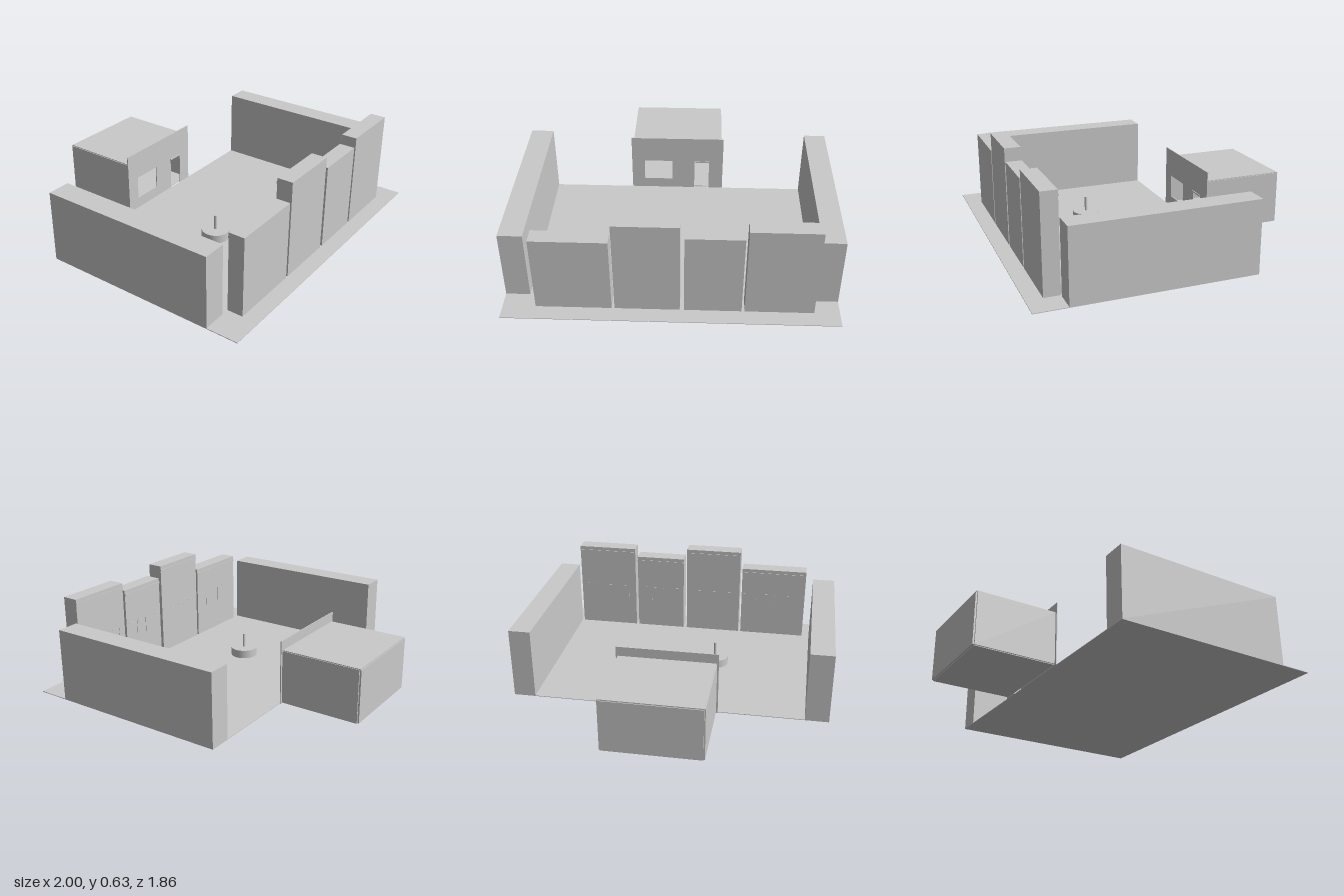
import * as THREE from 'three';

export function createModel() {
  const model = new THREE.Group();
  const stone = new THREE.MeshStandardMaterial({ color: 0xcacaca });
  stone.name = 'light grey stone';

  const add = (name, geometry, parent = model) => {
    const mesh = new THREE.Mesh(geometry, stone);
    mesh.name = name;
    parent.add(mesh);
    return mesh;
  };
  // Box given by its minimum and maximum corners
  const box = (name, x0, x1, y0, y1, z0, z1, parent) => {
    const mesh = add(name, new THREE.BoxGeometry(x1 - x0, y1 - y0, z1 - z0), parent);
    mesh.position.set((x0 + x1) / 2, (y0 + y1) / 2, (z0 + z1) / 2);
    return mesh;
  };
  const group = (name) => {
    const g = new THREE.Group();
    g.name = name;
    model.add(g);
    return g;
  };

  // Courtyard floor and the long side blocks
  box('ground', -1, 1, 0, 0.004, -0.403, 0.93);
  box('rightBlock', -1, -0.853, 0.004, 0.457, -0.403, 0.73);
  box('leftBlock', 0.862, 1, 0.004, 0.457, -0.403, 0.73);

  // Row of town houses; their decorated sides face the courtyard
  const houses = [
    { x0: -0.803, x1: -0.349, top: 0.505, hoods: [-0.385, -0.52, -0.67], jambs: [-0.455, -0.59] },
    { x0: -0.332, x1: 0.055, top: 0.626, hoods: [-0.05, -0.14, -0.255], jambs: [] },
    { x0: 0.079, x1: 0.42, top: 0.548, hoods: [0.375, 0.28, 0.12], jambs: [0.315, 0.23] },
    { x0: 0.438, x1: 0.848, top: 0.605, hoods: [0.78, 0.645, 0.53], jambs: [0.49] },
  ];
  const back = 0.73;
  for (const { x0, x1, top, hoods, jambs } of houses) {
    const house = group('townHouse');
    box('houseBody', x0, x1, 0.004, top, back, 0.83, house);
    box('cornice', x0, x1, top - 0.036, top - 0.024, back - 0.004, back, house);
    for (const x of hoods) {
      box('windowHood', x - 0.022, x + 0.022, 0.311, 0.315, back - 0.003, back, house);
    }
    for (const x of jambs) {
      box('jamb', x - 0.002, x + 0.002, 0.21, 0.312, back - 0.003, back, house);
    }
  }

  // Hollow shop behind the courtyard, made of thin panels
  const shop = group('shop');
  box('shopFloor', -0.3, 0.3, 0.004, 0.01, -0.92, -0.412, shop);
  box('shopRoof', -0.303, 0.303, 0.343, 0.35, -0.925, -0.412, shop);
  box('shopBack', -0.3, 0.3, 0.01, 0.343, -0.93, -0.92, shop);
  for (const s of [-1, 1]) {
    const side = box('shopSide', -0.004, 0.004, 0.008, 0.345, -0.92, -0.412, shop);
    side.position.x = s * 0.304;
  }

  // Shop front with window and door openings
  const front = new THREE.Shape();
  front.moveTo(-0.318, 0);
  front.lineTo(0.12, 0);
  front.lineTo(0.12, 0.218);
  front.lineTo(0.222, 0.218);
  front.lineTo(0.222, 0);
  front.lineTo(0.318, 0);
  front.lineTo(0.318, 0.41);
  front.lineTo(-0.318, 0.41);
  front.closePath();
  const opening = new THREE.Path();
  opening.moveTo(-0.23, 0.075);
  opening.lineTo(-0.23, 0.226);
  opening.lineTo(-0.035, 0.226);
  opening.lineTo(-0.035, 0.075);
  opening.closePath();
  front.holes.push(opening);
  const facade = add('shopFront',
    new THREE.ExtrudeGeometry(front, { depth: 0.006, bevelEnabled: false }), shop);
  facade.position.z = -0.41;
  box('doorHood', 0.115, 0.224, 0.218, 0.228, -0.404, -0.399, shop);

  // Round fountain with a slim spout
  const fountain = group('fountain');
  fountain.position.set(-0.222, 0.004, 0.23);
  add('basin', new THREE.CylinderGeometry(0.088, 0.088, 0.055, 48), fountain).position.y = 0.0275;
  add('spout', new THREE.CylinderGeometry(0.009, 0.009, 0.096, 32), fountain).position.y = 0.103;

  return model;
}
